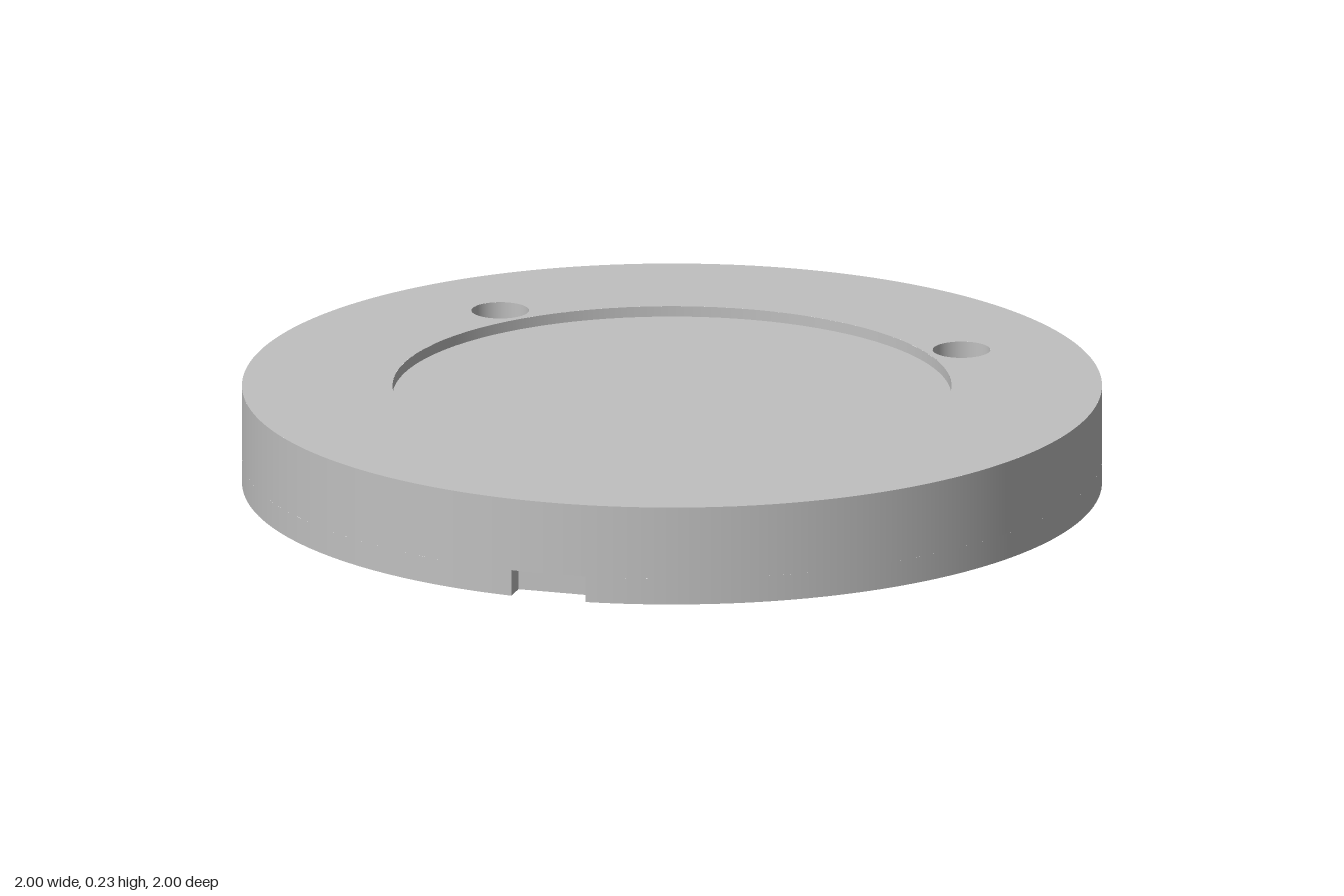
import * as THREE from 'three';

const HEIGHT = 0.235, RECESS_R = 0.65, RECESS_Y = 0.21;
const NOTCH_W = 0.09, NOTCH_Z = 0.94, NOTCH_Y = 0.062;
const HALF = Math.asin(NOTCH_W);
const SCREW = { x: 0.56, z: -0.475 };
const SLOT = { x: 0.235, z: 0.742, w: 0.074, d: 0.04, depth: 0.025 };
const FINGER = { z: -0.47, r: 0.105, depth: 0.062 };

export function createModel() {
  const group = new THREE.Group();
  const grey = new THREE.MeshStandardMaterial({ color: 0xc0c0c0 });
  grey.name = 'plain grey';

  const add = (name, geometry, x = 0, y = 0, z = 0) => {
    const mesh = new THREE.Mesh(geometry, grey);
    mesh.name = name;
    mesh.position.set(x, y, z);
    group.add(mesh);
  };

  // Round wall: rising from y0 to y1 faces outward, falling faces inward
  const roundWall = (r, y0, y1, segments = 96, start = 0, length = Math.PI * 2) =>
    new THREE.LatheGeometry([new THREE.Vector2(r, y0), new THREE.Vector2(r, y1)], segments, start, length);

  // Flat face of a shape, turned up (shape y = -z) or down (shape y = z)
  const face = (shape, up) =>
    new THREE.ShapeGeometry(shape, 96).rotateX(up ? -Math.PI / 2 : Math.PI / 2);

  const circle = (r, x = 0, y = 0) => new THREE.Shape().absarc(x, y, r, 0, Math.PI * 2, false);
  const ring = (outer, inner) => {
    const shape = circle(outer);
    shape.holes.push(inner);
    return shape;
  };
  const hexagon = (r) => new THREE.Shape(Array.from({ length: 6 }, (_, i) =>
    new THREE.Vector2(r * Math.sin(i * Math.PI / 3), -r * Math.cos(i * Math.PI / 3))));

  // Straight vertical walls along a path of [x, z] points
  const straightWalls = (path, y0, y1) => {
    const v = [];
    for (let i = 0; i + 1 < path.length; i++) {
      const [ax, az] = path[i], [bx, bz] = path[i + 1];
      v.push(ax, y0, az, bx, y0, bz, bx, y1, bz, ax, y0, az, bx, y1, bz, ax, y1, az);
    }
    const g = new THREE.BufferGeometry();
    g.setAttribute('position', new THREE.Float32BufferAttribute(v, 3));
    g.computeVertexNormals();
    return g;
  };

  // Outer rim, broken at the cable notch
  add('upperRim', roundWall(1, NOTCH_Y, HEIGHT, 128));
  add('lowerRim', roundWall(1, 0, NOTCH_Y, 128, HALF, Math.PI * 2 - 2 * HALF));

  // Top ring with the recess and two screw holes
  const top = ring(1, circle(RECESS_R));
  for (const s of [-1, 1]) top.holes.push(circle(0.067, s * SCREW.x, -SCREW.z));
  add('topRing', face(top, true), 0, HEIGHT);
  add('recessWall', roundWall(RECESS_R, HEIGHT, RECESS_Y));
  add('recessFloor', face(circle(RECESS_R), true), 0, RECESS_Y);

  // Stepped screw holes with a hexagonal socket
  for (const s of [-1, 1]) {
    const at = (name, g, y = 0) => add(name, g, s * SCREW.x, y, SCREW.z);
    const hexPath = Array.from({ length: 7 }, (_, i) =>
      [0.028 * Math.sin(i * Math.PI / 3), -0.028 * Math.cos(i * Math.PI / 3)]).reverse();
    at('counterboreWall', roundWall(0.067, HEIGHT, 0.19, 48));
    at('counterboreFloor', face(ring(0.067, circle(0.038)), true), 0.19);
    at('boreWall', roundWall(0.038, 0.19, 0.12, 32));
    at('boreFloor', face(ring(0.038, hexagon(0.028)), true), 0.12);
    at('socketWalls', straightWalls(hexPath.reverse(), 0.08, 0.12));
    at('socketFloor', face(hexagon(0.028), true), 0.08);
  }

  // Underside with notch, round pocket and two slots
  const base = new THREE.Shape();
  base.absarc(0, 0, 1, Math.PI / 2 + HALF, Math.PI * 2.5 - HALF, false);
  base.lineTo(NOTCH_W, NOTCH_Z);
  base.lineTo(-NOTCH_W, NOTCH_Z);
  base.closePath();
  base.holes.push(circle(FINGER.r, 0, FINGER.z));

  const { w, d } = SLOT;
  const corners = [[w, d], [-w, d], [-w, -d], [w, -d]];
  for (const s of [-1, 1]) {
    base.holes.push(new THREE.Path(corners.map(([x, z]) => new THREE.Vector2(s * SLOT.x + x, SLOT.z + z))));
    add('slotWalls', straightWalls([...corners, corners[0]], 0, SLOT.depth), s * SLOT.x, 0, SLOT.z);
    add('slotCeiling', face(new THREE.Shape(corners.map((c) => new THREE.Vector2(...c))), false),
      s * SLOT.x, SLOT.depth, SLOT.z);
  }
  add('underside', face(base, false));
  add('pocketWall', roundWall(FINGER.r, FINGER.depth, 0, 64), 0, 0, FINGER.z);
  add('pocketCeiling', face(circle(FINGER.r), false), 0, FINGER.depth, FINGER.z);

  // Cable notch in the front edge
  const edgeZ = Math.cos(HALF);
  add('notchWalls', straightWalls([[-NOTCH_W, edgeZ], [-NOTCH_W, NOTCH_Z], [NOTCH_W, NOTCH_Z], [NOTCH_W, edgeZ]], 0, NOTCH_Y));
  const lid = new THREE.Shape();
  lid.moveTo(-NOTCH_W, NOTCH_Z);
  lid.lineTo(NOTCH_W, NOTCH_Z);
  lid.absarc(0, 0, 1, Math.PI / 2 - HALF, Math.PI / 2 + HALF, false);
  add('notchCeiling', face(lid, false), 0, NOTCH_Y);

  return group;
}
